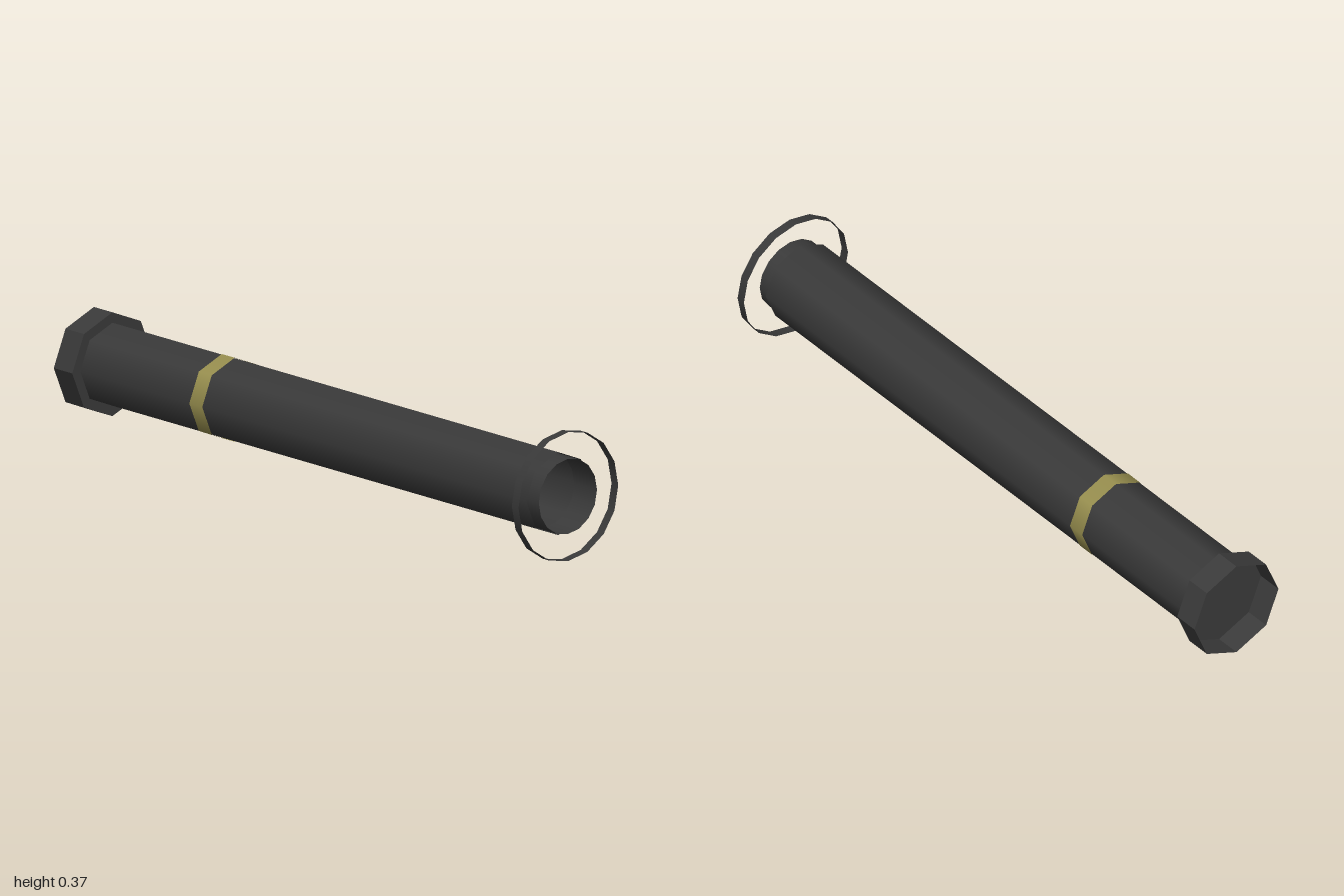
import * as THREE from 'three';

export function createModel() {
  const model = new THREE.Group();
  model.name = 'tube';

  const make = (name, color) => {
    const m = new THREE.MeshStandardMaterial({ color, side: THREE.DoubleSide });
    m.name = name;
    return m;
  };
  const dark = make('darkGrey', 0x3a3a3a);
  const gold = make('dullGold', 0x9a9150);

  // Everything sits on one axis, turned slightly about y
  const axis = new THREE.Group();
  axis.name = 'tubeAxis';
  axis.position.set(0, 0.186, -0.02);
  axis.rotation.y = THREE.MathUtils.degToRad(-5);
  model.add(axis);

  // Open thin-walled sleeve running along x from a to b
  function sleeve(name, radius, a, b, sides, material, flat = false) {
    let g = new THREE.CylinderGeometry(radius, radius, b - a, sides, 1, true);
    g.rotateZ(-Math.PI / 2);
    g.translate((a + b) / 2, 0, 0);
    if (flat) {
      g = g.toNonIndexed();
      g.computeVertexNormals();
    }
    const mesh = new THREE.Mesh(g, material);
    mesh.name = name;
    axis.add(mesh);
  }

  // Long eight-sided barrel with its painted band
  sleeve('barrel', 0.119, -0.914, 0.945, 8, dark);
  sleeve('band', 0.1205, -0.458, -0.404, 8, gold);

  // Inner neck standing out of the open end, and the loose ring around it
  sleeve('neck', 0.108, 0.89, 0.985, 16, dark);
  sleeve('endRing', 0.185, 0.959, 0.987, 16, dark);

  // Hollow end cap: octagonal wall open to the outside, closed by a disc
  sleeve('capWall', 0.149, -0.991, -0.914, 8, dark, true);
  const disc = new THREE.Mesh(new THREE.CircleGeometry(0.149, 8), dark);
  disc.geometry.rotateY(Math.PI / 2);
  disc.position.x = -0.914;
  disc.name = 'capDisc';
  axis.add(disc);

  return model;
}
